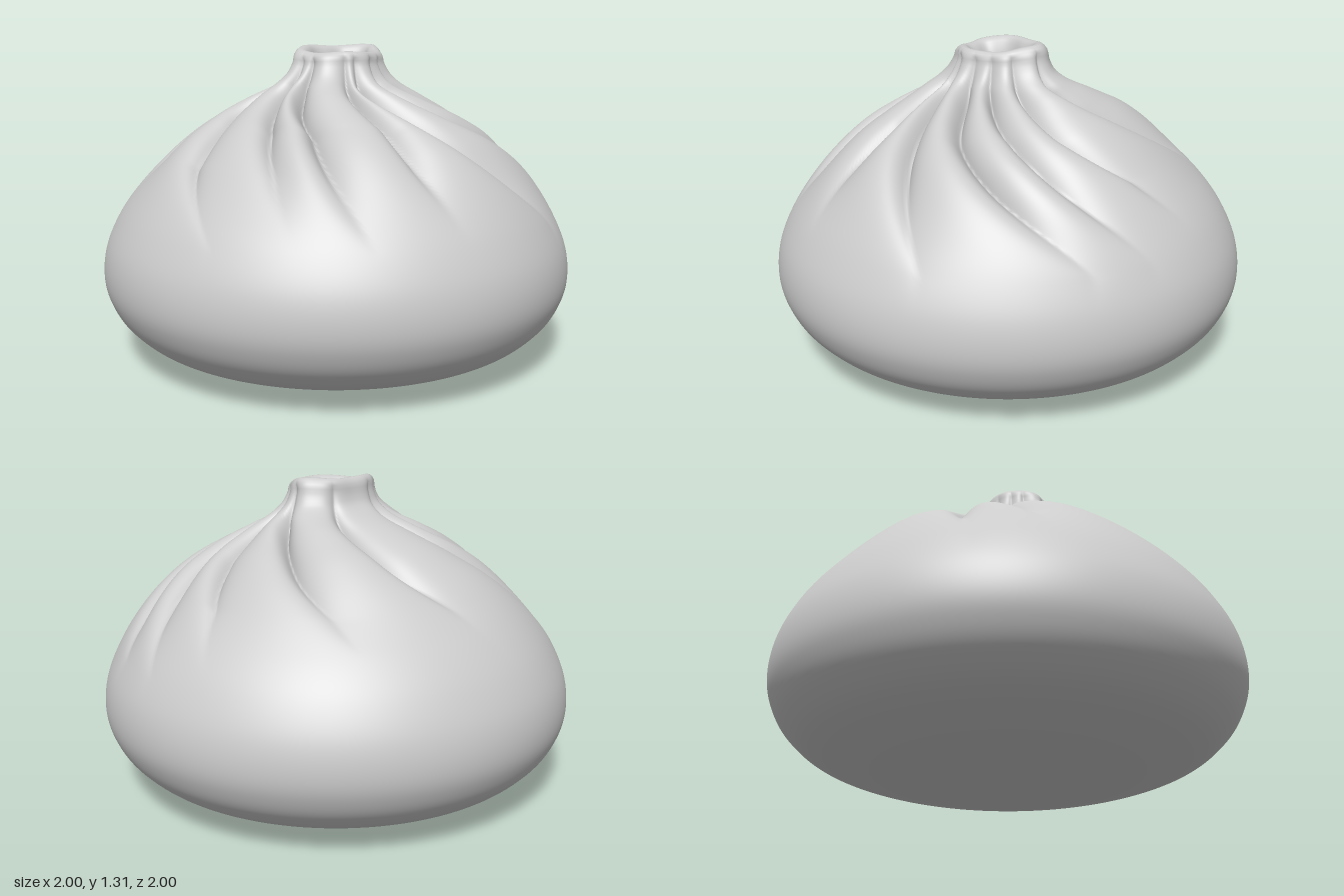
import * as THREE from 'three';
import { mergeVertices } from 'three/addons/utils/BufferGeometryUtils.js';

const { smoothstep, lerp, degToRad } = THREE.MathUtils;

// Half section: flat base, round belly, sloping shoulder, neck, rim and inner pocket
const profile = new THREE.SplineCurve([
  [0, 0.005], [0.3, 0.005], [0.58, 0.027], [0.8, 0.09], [0.92, 0.18], [0.98, 0.28], [0.998, 0.38],
  [0.98, 0.495], [0.925, 0.615], [0.85, 0.72], [0.75, 0.823], [0.63, 0.92], [0.5, 1.003], [0.38, 1.07],
  [0.285, 1.128], [0.222, 1.19], [0.195, 1.245], [0.188, 1.285], [0.165, 1.305], [0.135, 1.295],
  [0.112, 1.25], [0.095, 1.18], [0.06, 1.13], [0, 1.115],
].map(([r, y]) => new THREE.Vector2(r, y)));

// Swirling pleats: crease angle in degrees at each of the radii, outer reach, depth
const radii = [0.25, 0.5, 0.7, 0.92];
const pleats = [
  { angles: [22, 5, -8, -22], reach: 0.99, depth: 0.075 },
  { angles: [34, 23, 20, 15], reach: 0.92, depth: 0.06 },
  { angles: [80, 57, 48, 38], reach: 0.94, depth: 0.075 },
  { angles: [100, 78, 66, 56], reach: 0.88, depth: 0.06 },
  { angles: [132, 112, 99, 76], reach: 0.97, depth: 0.06 },
  { angles: [148, 138, 129, 124], reach: 0.86, depth: 0.05 },
  { angles: [166, 158, 151, 144], reach: 0.98, depth: 0.055 },
  { angles: [222, 207, 194, 184], reach: 0.8, depth: 0.07 },
  { angles: [275, 252, 234, 220], reach: 0.82, depth: 0.07 },
  { angles: [309, 293, 275, 264], reach: 0.9, depth: 0.055 },
  { angles: [336, 315, 300, 283], reach: 0.98, depth: 0.06 },
  { angles: [358, 340, 321, 299], reach: 0.99, depth: 0.075 },
];

function creaseAngle(angles, r) {
  let k = 0;
  while (k < 2 && r > radii[k + 1]) k++;
  const t = THREE.MathUtils.clamp((r - radii[k]) / (radii[k + 1] - radii[k]), 0, 1);
  return degToRad(lerp(angles[k], angles[k + 1], t));
}

const wrap = (angle) => THREE.MathUtils.euclideanModulo(angle, Math.PI * 2);

// Height above the plain section: rounded pillows of dough parted by sharp creases
function pleatHeight(r, theta, creases) {
  let h = 0;
  const w = 0.012 + 0.055 * r;
  pleats.forEach(({ reach, depth }, k) => {
    const fade = 1 - smoothstep(r, reach - 0.38, reach);
    const turn = wrap(theta - creases[k]);
    const gap = wrap(creases[(k + 1) % creases.length] - creases[k]);
    if (turn < gap) {
      // The pillow leans towards its own crease
      const u = (turn / gap) ** 0.8;
      h += 0.5 * depth * fade * Math.sin(Math.PI * u);
    }
    const d = Math.min(turn, Math.PI * 2 - turn) * r;
    const width = turn < Math.PI ? w * 0.6 : w * 1.2;
    h -= 0.75 * depth * fade * Math.exp(-(Math.hypot(d, 0.005) - 0.005) / width);
  });
  return h;
}

function bunGeometry() {
  const rows = 175, segments = 400;
  const section = [];
  for (let j = 0; j <= rows; j++) section.push(profile.getPointAt(j / rows));
  section[0].x = section[rows].x = 0;
  const rimRow = section.reduce((best, p, j) => (p.y > section[best].y ? j : best), 0);
  const geometry = new THREE.LatheGeometry(section, segments);
  const pos = geometry.attributes.position;

  for (let j = 0; j <= rows; j++) {
    const { x: r, y } = section[j];
    const tangent = profile.getTangentAt(j / rows);
    const creases = pleats.map(({ angles }) => creaseAngle(angles, r));
    const neck = smoothstep(y, 1.02, 1.22);
    const pleated = y > 0.385 && j <= rimRow;
    const strength = (0.12 + 0.88 * smoothstep(r, 0.16, 0.33)) * (1 - smoothstep(y, 1.26, 1.3));

    for (let i = 0; i <= segments; i++) {
      // Grid lines follow the swirl so that the creases stay clean
      const theta = Math.PI / 2 - ((i % segments) / segments) * Math.PI * 2 - 1.2 * r;
      const h = pleated ? pleatHeight(r, theta, creases) * strength : 0;
      const rr = Math.max(0, r + h * tangent.y);

      // Oval, slightly offset and uneven neck with a rim that dips at the front
      const wobble = 1 + neck * (0.05 * Math.sin(3 * theta + 0.6) + 0.025 * Math.sin(7 * theta));
      const px = rr * wobble * Math.cos(theta) * lerp(1, 0.85, neck) + 0.035 * neck;
      const pz = rr * wobble * Math.sin(theta) * lerp(1, 1.1, neck) + 0.01 * neck;
      const lift = smoothstep(y, 1.2, 1.3) * (0.013 * Math.cos(theta - 3.7) + 0.006 * Math.sin(3 * theta) - 0.004);
      pos.setXYZ(i * (rows + 1) + j, px, y - h * tangent.x + lift, pz);
    }
  }

  // Weld the seam and poles for continuous smooth shading
  geometry.deleteAttribute('uv');
  geometry.deleteAttribute('normal');
  const welded = mergeVertices(geometry, 1e-5);
  welded.computeVertexNormals();
  return welded;
}

export function createModel() {
  const group = new THREE.Group();
  group.name = 'pleatedDumpling';
  const dough = new THREE.Mesh(bunGeometry(), new THREE.MeshStandardMaterial({ color: 0xcccccc }));
  dough.name = 'doughWrapper';
  group.add(dough);
  return group;
}
